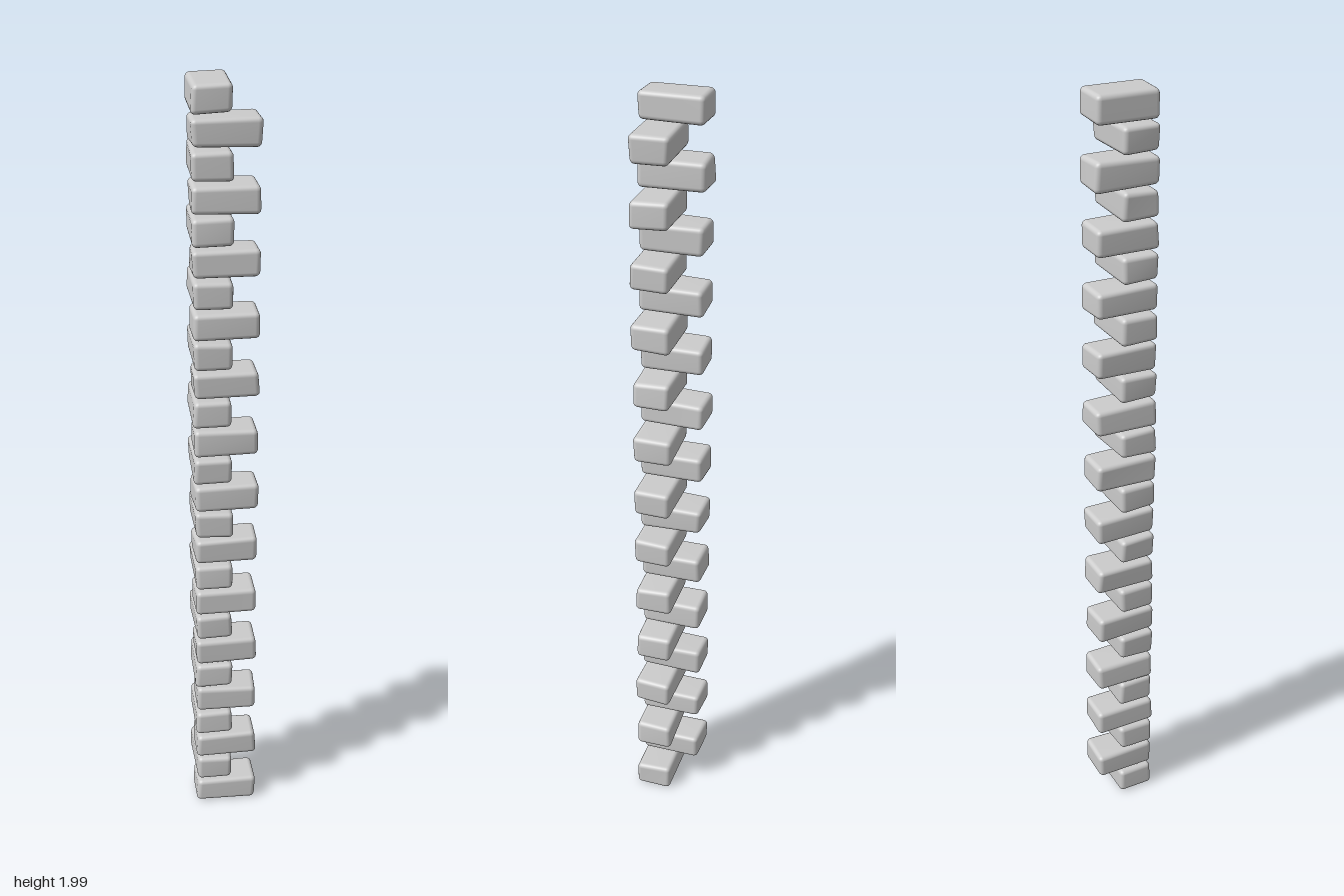
import * as THREE from 'three';
import { mergeVertices } from 'three/addons/utils/BufferGeometryUtils.js';
import { RoundedBoxGeometry } from 'three/addons/geometries/RoundedBoxGeometry.js';

const COUNT = 26;
const HEIGHT = 0.074;
const PITCH = (2 - HEIGHT) / (COUNT - 1);
const LONG = 0.168;
const SHORT = 0.103;
const EDGE = 0.085;

// Small seeded generator for the hand-cut irregularity
function seeded(seed) {
  let s = seed;
  return () => (s = (s * 16807) % 2147483647) / 2147483647;
}

// Worn block: a rounded box whose eight corners are pulled in by differing amounts
function stoneGeometry(w, h, d, random) {
  const geo = new RoundedBoxGeometry(w, h, d, 3, 0.013);
  geo.deleteAttribute('normal');
  geo.deleteAttribute('uv');
  const stone = mergeVertices(geo, 1e-5);
  const pull = Array.from({ length: 8 }, () =>
    new THREE.Vector3(random() * 0.007, random() * 0.006, random() * 0.007));
  const pos = stone.attributes.position;
  const v = new THREE.Vector3();
  for (let i = 0; i < pos.count; i++) {
    v.fromBufferAttribute(pos, i);
    const u = [v.x / w + 0.5, v.y / h + 0.5, v.z / d + 0.5];
    const shift = new THREE.Vector3();
    pull.forEach((p, c) => {
      const bits = [c & 1, (c >> 1) & 1, (c >> 2) & 1];
      const weight = bits.reduce((m, b, k) => m * (b ? u[k] : 1 - u[k]), 1);
      shift.x += (bits[0] ? -1 : 1) * p.x * weight;
      shift.y += (bits[1] ? -1 : 1) * p.y * weight;
      shift.z += (bits[2] ? -1 : 1) * p.z * weight;
    });
    v.add(shift);
    pos.setXYZ(i, v.x, v.y, v.z);
  }
  stone.computeVertexNormals();
  return stone;
}

export function createModel() {
  const group = new THREE.Group();
  group.name = 'cornerStones';
  const material = new THREE.MeshStandardMaterial({ color: 0xcccccc });
  const random = seeded(4217);

  // Alternate stones run along x and along z, sharing the outer front corner
  for (let i = 0; i < COUNT; i++) {
    const alongX = i % 2 === 0;
    const w = alongX ? LONG : SHORT;
    const d = alongX ? SHORT : LONG;
    const stone = new THREE.Mesh(stoneGeometry(w, HEIGHT, d, random), material);
    stone.name = (alongX ? 'sideStone' : 'returnStone') + (i + 1);
    stone.position.set(-EDGE + w / 2, HEIGHT / 2 + i * PITCH, EDGE - d / 2);
    stone.rotation.y = (random() - 0.5) * 0.03;
    group.add(stone);
  }
  return group;
}
